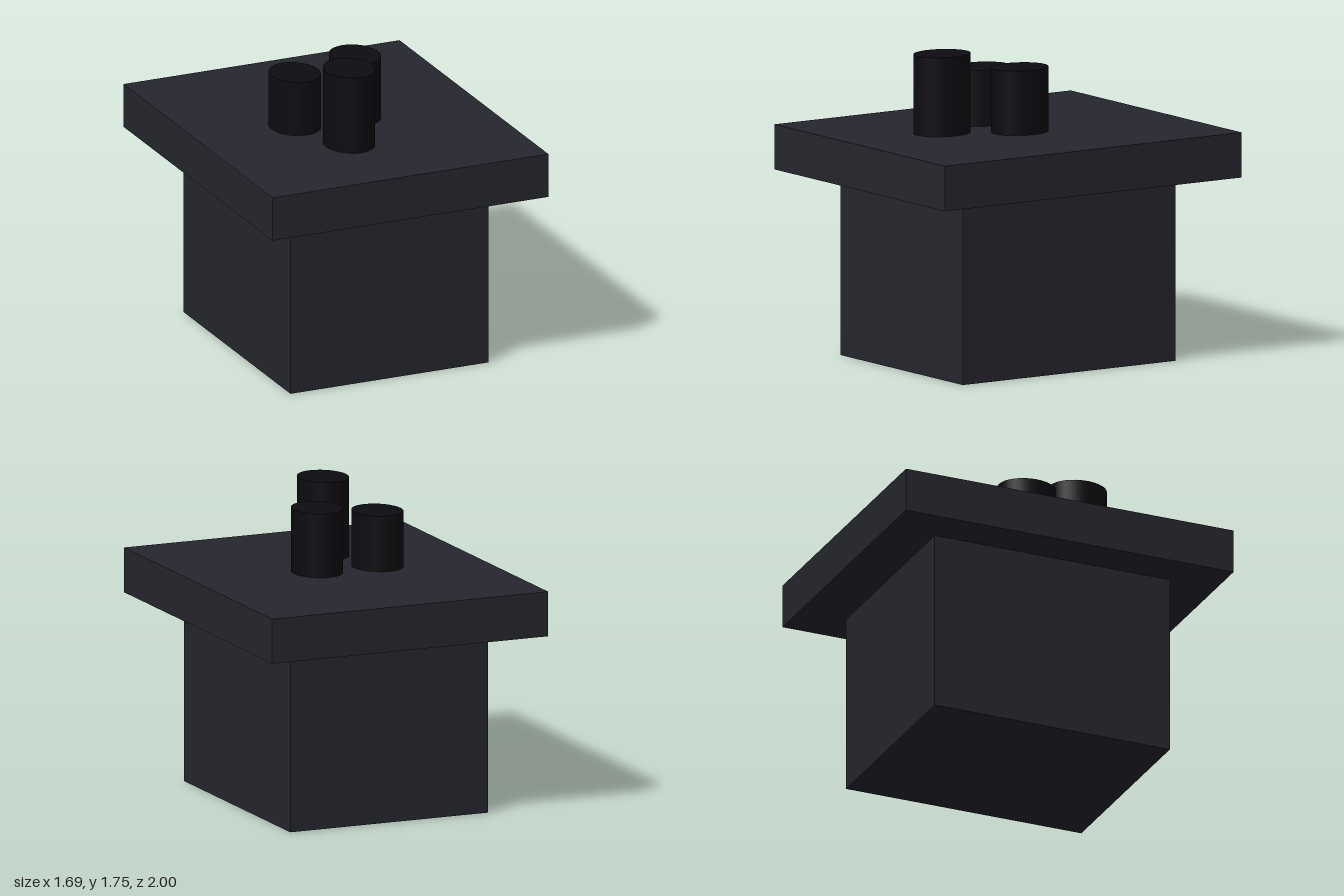
import * as THREE from 'three';

export function createModel() {
  const model = new THREE.Group();
  const stone = new THREE.MeshStandardMaterial({ color: 0x25252e });
  const dark = new THREE.MeshStandardMaterial({ color: 0x0c0c11 });

  const add = (name, geometry, material, x, y, z) => {
    const mesh = new THREE.Mesh(geometry, material);
    mesh.name = name;
    mesh.position.set(x, y, z);
    model.add(mesh);
  };

  // Square base and the overhanging slab on it
  const bottom = 1.043, top = 1.298;
  add('base', new THREE.BoxGeometry(1.212, bottom, 1.436), stone, 0, bottom / 2, 0);
  add('topSlab', new THREE.BoxGeometry(1.69, top - bottom, 2), stone, 0, (top + bottom) / 2, 0);

  // Three oval posts of different heights: name, x, z, top height
  const posts = [
    ['frontPost', -0.094, 0.382, 1.745],
    ['leftPost', 0.116, 0, 1.663],
    ['rightPost', -0.253, 0, 1.615],
  ];
  for (const [name, x, z, height] of posts) {
    const h = height - top;
    const oval = new THREE.CylinderGeometry(1, 1, h, 32).scale(0.141, 1, 0.168);
    add(name, oval, dark, x, top + h / 2, z);
  }

  return model;
}
